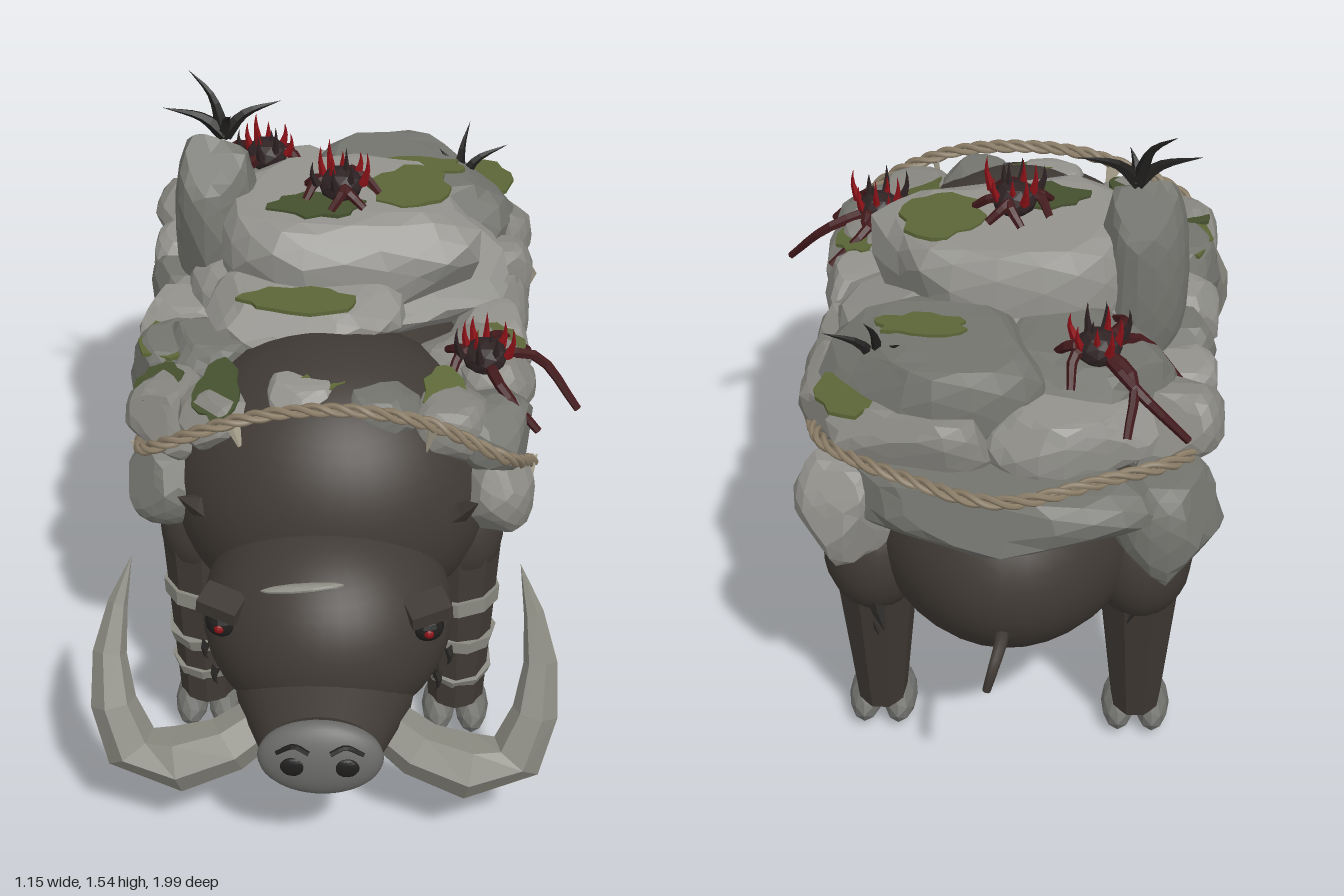
import * as THREE from 'three';

const V = (x, y, z) => new THREE.Vector3(x, y, z);
let seed = 7;
const rnd = () => (seed = (seed * 16807) % 2147483647) / 2147483647;
const span = (a, b) => a + (b - a) * rnd();

const mat = (color, flat = true, double = false) => new THREE.MeshStandardMaterial({
  color, flatShading: flat, side: double ? THREE.DoubleSide : THREE.FrontSide });
const M = {
  hide: mat(0x403a35, false), leg: mat(0x403a35), fur: mat(0x2f2d2a), tusk: mat(0x8b8a81),
  hoof: mat(0x70706d), snout: mat(0x6a6a68, false), dark: mat(0x1f1e1d), red: mat(0x8c1218),
  shell: mat(0x2e2223), crawl: mat(0x42191b), rope: mat(0x8d7f69, false), cloth: mat(0xb5ad98, true, true),
  moss: mat(0x5b6637), mossDark: mat(0x45502f),
  rocks: [mat(0x93928d), mat(0x86857f), mat(0x74746f)],
};

function add(parent, name, geo, material, x = 0, y = 0, z = 0) {
  const m = new THREE.Mesh(geo, material);
  m.name = name;
  m.position.set(x, y, z);
  parent.add(m);
  return m;
}

function ellipsoid(parent, name, material, p, r, seg = 32) {
  const m = add(parent, name, new THREE.SphereGeometry(1, seg, Math.ceil(seg * 0.7)), material, ...p);
  m.scale.set(...r);
  return m;
}

// Tube along points whose radius follows rule(t)
function sweep(parent, name, material, pts, rule, sides = 6, segs = 8) {
  const curve = new THREE.CatmullRomCurve3(pts.map(p => V(...p)));
  const geo = new THREE.TubeGeometry(curve, segs, 1, sides);
  const pos = geo.attributes.position, v = V(0, 0, 0);
  for (let i = 0; i <= segs; i++) {
    const c = curve.getPointAt(i / segs), r = rule(i / segs);
    for (let j = 0; j <= sides; j++) {
      const k = i * (sides + 1) + j;
      v.fromBufferAttribute(pos, k).sub(c).multiplyScalar(r).add(c);
      pos.setXYZ(k, v.x, v.y, v.z);
    }
  }
  geo.computeVertexNormals();
  return add(parent, name, geo, material);
}

// Boulder: a slightly boxy ball cut flat by random planes, with a flat top
const boxy = c => Math.sign(c) * Math.abs(c) ** 0.82;
function rock(parent, name, [x, y, z, rx, ry, rz], flatTop = 0.85) {
  const geo = new THREE.IcosahedronGeometry(1, 3), pos = geo.attributes.position, v = V(0, 0, 0);
  const planes = [[V(0, 1, 0), flatTop]];
  for (let i = 0; i < 12; i++)
    planes.push([V(span(-1, 1), span(-1, 1), span(-1, 1)).normalize(), span(0.74, 0.94)]);
  for (let i = 0; i < pos.count; i++) {
    v.fromBufferAttribute(pos, i);
    v.set(boxy(v.x), boxy(v.y), boxy(v.z));
    for (const [n, d] of planes) {
      const over = v.dot(n) - d;
      if (over > 0) v.addScaledVector(n, -over);
    }
    pos.setXYZ(i, v.x * rx * 1.07, v.y * ry * 1.1, v.z * rz * 1.07);
  }
  geo.computeVertexNormals();
  return add(parent, name, geo, M.rocks[Math.floor(rnd() * 3)], x, y, z);
}

// Ragged moss sheet
function moss(parent, [x, y, z, rx, rz, tiltX = 0, tiltZ = 0], i) {
  const shape = new THREE.Shape();
  for (let k = 0; k < 18; k++) {
    const a = k / 18 * Math.PI * 2, r = span(0.78, 1.12);
    shape[k ? 'lineTo' : 'moveTo'](Math.cos(a) * r * rx, Math.sin(a) * r * rz);
  }
  const geo = new THREE.ExtrudeGeometry(shape, { depth: 0.01, bevelEnabled: false }).rotateX(-Math.PI / 2);
  const m = add(parent, 'moss', geo, i % 3 === 1 ? M.mossDark : M.moss, x, y, z);
  m.rotation.set(tiltX, 0, tiltZ);
}

// Spiny crawler: round shell, upright red spines, bent legs ending at given feet
function crawler(parent, [x, y, z], feet) {
  const g = new THREE.Group();
  g.name = 'crawler';
  g.position.set(x, y, z);
  parent.add(g);
  const body = add(g, 'crawlerShell', new THREE.IcosahedronGeometry(0.055, 1), M.shell);
  body.scale.y = 0.8;
  for (let i = 0; i < 10; i++) {
    const a = i * 2.4, r = 0.02 * Math.sqrt(i + 0.3), h = span(0.07, 0.105);
    const c = Math.cos(a), s = Math.sin(a);
    sweep(g, 'crawlerSpine', i % 3 ? M.red : M.shell, [[c * r, 0.01, s * r],
      [c * r * 1.25, h * 0.6, s * r * 1.25], [c * r * 1.2, h, s * r * 1.2]], t => 0.012 * (1 - t), 4, 4);
  }
  // Each leg swings sideways at the knee
  feet.forEach(([fx, fy, fz], i) => {
    const bend = i % 2 ? 0.22 : -0.22;
    sweep(g, 'crawlerLeg', M.crawl, [[0, 0, 0], [fx * 0.55 - fz * bend, fy * 0.35 + 0.02, fz * 0.55 + fx * bend], [fx, fy, fz]],
      t => 0.016 * (1 - t * 0.4), 6, 7);
  });
}

// Tuft of curved thorns
function thorns(parent, [x, y, z], tips) {
  for (const [tx, ty, tz] of tips)
    sweep(parent, 'thorn', M.dark, [[x, y, z], [x + tx * 0.35, y + ty * 0.65, z + tz * 0.4],
      [x + tx, y + ty, z + tz]], t => 0.021 * (1 - t), 5, 7);
}

// Three strands twisted around a path
function rope(parent, name, pts) {
  const path = new THREE.CatmullRomCurve3(pts.map(p => V(...p)));
  for (let s = 0; s < 3; s++) {
    const strand = [];
    for (let i = 0; i <= 120; i++) {
      const t = i / 120, a = t * 60 + s * Math.PI * 2 / 3, p = path.getPointAt(t), d = path.getTangentAt(t);
      const u = V(0, 1, 0).cross(d).normalize(), w = d.clone().cross(u);
      strand.push(p.addScaledVector(u, Math.cos(a) * 0.01).addScaledVector(w, Math.sin(a) * 0.01));
    }
    add(parent, name, new THREE.TubeGeometry(new THREE.CatmullRomCurve3(strand), 240, 0.008, 5), M.rope);
  }
}

function buildBeast() {
  const g = new THREE.Group();
  g.name = 'beast';
  g.position.x = -0.025;
  ellipsoid(g, 'belly', M.hide, [0, 0.66, -0.24], [0.39, 0.37, 0.68], 40);
  ellipsoid(g, 'shoulders', M.hide, [0, 0.72, 0.25], [0.4, 0.37, 0.37], 40);
  ellipsoid(g, 'head', M.hide, [0, 0.525, 0.55], [0.3, 0.275, 0.3], 36);
  // Snout and nose plate
  add(g, 'muzzle', new THREE.CylinderGeometry(0.138, 0.21, 0.2, 28).rotateX(Math.PI / 2), M.hide, 0, 0.41, 0.83)
    .scale.y = 0.76;
  ellipsoid(g, 'nosePlate', M.snout, [0, 0.408, 0.945], [0.147, 0.1, 0.05], 28).rotation.x = -0.1;
  sweep(g, 'tail', M.hide, [[0, 0.57, -0.86], [0, 0.575, -0.93], [0.015, 0.54, -0.98], [0.03, 0.48, -0.985]],
    t => 0.018 - 0.008 * t, 8, 12);
  ellipsoid(g, 'browScar', M.tusk, [-0.05, 0.735, 0.735], [0.1, 0.01, 0.015], 10).rotation.z = 0.12;

  for (const s of [-1, 1]) {
    ellipsoid(g, 'nostril', M.dark, [s * 0.06, 0.41, 0.985], [0.032, 0.027, 0.012], 14);
    sweep(g, 'nostrilFold', M.dark, [[s * 0.1, 0.44, 0.972], [s * 0.06, 0.465, 0.978], [s * 0.025, 0.452, 0.988]],
      () => 0.007, 5, 8);
    ellipsoid(g, 'eyeSocket', M.dark, [s * 0.24, 0.615, 0.71], [0.04, 0.038, 0.04], 14);
    ellipsoid(g, 'eye', M.red, [s * 0.245, 0.615, 0.742], [0.013, 0.013, 0.012], 10);
    const brow = add(g, 'brow', new THREE.BoxGeometry(0.1, 0.04, 0.07), M.leg, s * 0.24, 0.665, 0.71);
    brow.rotation.set(0.2, s * 0.4, s * 0.06);
    sweep(g, 'ear', M.leg, [[s * 0.24, 0.7, 0.42], [s * 0.31, 0.77, 0.47], [s * 0.355, 0.83, 0.52]],
      t => 0.07 * (1 - t), 4, 3);
    sweep(g, 'tusk', M.tusk, [[s * 0.13, 0.36, 0.75], [s * 0.28, 0.29, 0.815], [s * 0.44, 0.285, 0.81],
      [s * 0.505, 0.44, 0.76], [s * 0.5, 0.58, 0.69], [s * 0.455, 0.74, 0.63]],
      t => t < 0.3 ? 0.06 + 0.065 * t : 0.079 * Math.pow((1 - t) / 0.7, 0.75), 6, 7);

    // Legs, each with two toes; the hind shanks lean back to the thigh
    for (const z of [0.33, -0.53]) {
      const front = z > 0, leg = new THREE.Group();
      leg.name = front ? 'frontLeg' : 'hindLeg';
      leg.position.set(s * 0.315, 0, z);
      g.add(leg);
      const shank = add(leg, 'shank', new THREE.CylinderGeometry(front ? 0.106 : 0.126, 0.07, 0.52, 9), M.leg,
        0, 0.35, front ? -0.01 : -0.045);
      shank.rotation.x = front ? -0.04 : -0.1;
      shank.scale.x = front ? 1 : 0.88;
      ellipsoid(leg, 'thigh', M.hide, [0, 0.6, front ? -0.02 : -0.075], front ? [0.108, 0.14, 0.11] : [0.125, 0.17, 0.14], 18);
      for (const t of [-1, 1])
        add(leg, 'toe', new THREE.IcosahedronGeometry(1, 1), M.hoof, t * 0.042, 0.055, 0.005)
          .scale.set(0.043, 0.052, 0.095);
      if (front) [0.41, 0.29, 0.19].forEach((y, i) => {
        const r = 0.078 + (y - 0.1) * 0.075;
        const band = add(leg, 'legWrap', new THREE.CylinderGeometry(r + 0.005, r - 0.002, 0.04 - i * 0.005, 9), M.tusk, 0, y, -0.008);
        band.rotation.set(0.14 * (i - 1), i, s * 0.1 * (i % 2 ? -1 : 1));
      });
    }
    // Hanging fur along the flanks and cheeks
    for (let i = 0; i < 24; i++) {
      const z = 0.21 - i * 0.039, y = span(0.55, 0.64), h = span(0.12, 0.19), lean = span(-0.04, 0.02);
      const x = s * (0.385 * Math.sqrt(1 - ((z + 0.24) / 0.68) ** 2) + 0.002);
      sweep(g, 'flankFur', M.fur, [[x, y, z], [x + s * 0.02, y - h * 0.5, z + lean * 0.3], [x - s * 0.005, y - h, z + lean]],
        t => 0.003 + 0.021 * Math.sin(Math.PI * Math.min(1, t * 0.8 + 0.2)), 4, 4);
    }
    for (let i = 0; i < 5; i++) {
      const z = 0.46 + i * 0.045, y = 0.46 - (i % 3) * 0.04;
      const x = s * 0.3 * Math.sqrt(1 - ((z - 0.55) / 0.3) ** 2 - ((y - 0.525) / 0.275) ** 2);
      sweep(g, 'cheekFur', M.fur, [[x, y, z], [x + s * 0.01, y - 0.04, z], [x, y - 0.08, z - 0.02]],
        t => 0.013 * (1 - t), 4, 3);
    }
  }
  return g;
}

export function createModel() {
  const model = new THREE.Group();
  model.name = 'boulderBackedBoar';
  model.add(buildBeast());
  const load = new THREE.Group();
  load.name = 'rockLoad';
  model.add(load);

  // Stacked slabs along the back: x, y, z, radii, flat top
  [[0.01, 1.13, -0.16, 0.31, 0.2, 0.23, 0.61], [-0.1, 1.05, 0.05, 0.23, 0.11, 0.15, 0.66], [0.14, 1.03, -0.52, 0.26, 0.18, 0.2, 0.62],
    [-0.2, 1.02, -0.48, 0.2, 0.15, 0.2, 0.62], [0, 1.0, -0.2, 0.38, 0.14, 0.28, 0.75], [-0.17, 0.98, -0.66, 0.19, 0.11, 0.13, 0.7],
    [0.18, 0.98, -0.66, 0.2, 0.1, 0.12, 0.7], [-0.02, 0.855, -0.75, 0.35, 0.11, 0.165, 0.7]]
    .forEach(r => rock(load, 'backSlab', r, r[6]));
  rock(load, 'standingStone', [-0.315, 1.15, -0.22, 0.115, 0.255, 0.11], 0.93);

  // Boulders down both flanks: y, z, radii, distance out
  const flank = [[0.77, 0.35, 0.1, 0.12, 0.1, 0.39], [0.91, 0.3, 0.1, 0.1, 0.12, 0.385], [0.91, 0.13, 0.11, 0.12, 0.12, 0.385],
    [0.9, -0.05, 0.11, 0.12, 0.11, 0.385], [0.9, -0.22, 0.1, 0.12, 0.1, 0.385], [0.9, -0.38, 0.11, 0.12, 0.1, 0.385],
    [0.94, -0.54, 0.12, 0.12, 0.12, 0.37], [0.785, -0.69, 0.12, 0.15, 0.135, 0.37]];
  for (const s of [-1, 1])
    for (const [y, z, rx, ry, rz, x] of flank)
      rock(load, 'flankBoulder', [s * x - 0.03, y, z + s * 0.015, rx, ry, rz]);
  // Stones over the shoulders
  [[-0.28, 0.96, 0.36, 0.1, 0.07, 0.1], [-0.09, 1.02, 0.36, 0.08, 0.06, 0.09], [0.1, 1.0, 0.37, 0.09, 0.07, 0.09],
    [0.25, 0.95, 0.34, 0.1, 0.09, 0.11], [0.29, 0.96, 0.12, 0.11, 0.08, 0.11], [-0.32, 0.98, 0.12, 0.11, 0.08, 0.12]]
    .forEach(r => rock(load, 'shoulderStone', r, 0.75));

  [[0.15, 1.26, -0.2, 0.1, 0.1], [-0.08, 1.261, -0.1, 0.12, 0.06], [0.33, 1.045, -0.62, 0.09, 0.1],
    [0.18, 1.15, -0.5, 0.11, 0.045], [0.1, 1.06, -0.66, 0.08, 0.04], [-0.11, 1.125, 0.12, 0.15, 0.06],
    [-0.43, 1.005, 0.13, 0.07, 0.09], [-0.29, 1.01, 0.35, 0.06, 0.1, 0.25, 0.2], [0.25, 1.01, 0.34, 0.06, 0.1, 0.25, -0.2],
    [-0.04, 1.06, 0.36, 0.05, 0.04, 0.2], [-0.44, 0.985, 0.28, 0.06, 0.07, 0.1, 0.2], [0.38, 1.005, 0.1, 0.06, 0.07, 0, -0.2]]
    .forEach((p, i) => moss(load, p, i));

  const ring = [0, 1, 2, 3, 4, 5, 6].map(i => [Math.cos(i * 0.9) * 0.095, -0.025, Math.sin(i * 0.9) * 0.095]);
  crawler(load, [-0.02, 1.295, -0.16], ring);
  crawler(load, [0.34, 1.035, 0.2], [[0.23, -0.15, 0], [0.13, -0.12, 0.14], [0.11, -0.08, -0.15], [0.01, -0.04, -0.11],
    [-0.09, -0.01, -0.04], [-0.08, -0.02, 0.06]]);
  crawler(load, [-0.23, 1.15, -0.56], [[-0.07, -0.12, -0.19], [-0.21, -0.17, -0.12], [-0.2, -0.15, 0.07], [-0.03, -0.05, 0.19],
    [0.1, -0.04, 0.03], [0.06, -0.06, -0.09]]);

  thorns(load, [-0.31, 1.39, -0.23], [[-0.09, 0.15, -0.05], [-0.15, 0.07, 0], [0.14, 0.08, -0.03], [0.02, 0.07, 0.04]]);
  thorns(load, [0.27, 1.07, -0.55], [[0.13, 0.11, -0.03], [0.03, 0.16, -0.06], [-0.05, 0.09, -0.04]]);

  rope(load, 'frontRope', [[-0.49, 0.82, 0.28], [-0.45, 0.92, 0.45], [-0.22, 1.03, 0.48], [-0.02, 1.06, 0.48],
    [0.2, 1.03, 0.48], [0.39, 0.92, 0.46], [0.46, 0.8, 0.3]]);
  rope(load, 'rearRope', [[-0.48, 0.88, -0.45], [-0.45, 0.93, -0.66], [-0.25, 0.95, -0.8], [-0.02, 0.95, -0.89],
    [0.22, 0.95, -0.8], [0.39, 0.945, -0.68], [0.45, 0.88, -0.45]]);
  // Frayed cloth scraps on the ropes
  [[-0.24, 0.97, 0.47], [0.21, 0.97, 0.47], [0.46, 0.77, 0.32], [-0.48, 0.79, 0.3], [0.46, 0.84, -0.45]].forEach(([x, y, z], i) => {
    const scrap = add(load, 'clothScrap', new THREE.ConeGeometry(0.022, 0.1, 4, 1, true), M.cloth, x, y, z);
    scrap.scale.z = 0.3;
    scrap.rotation.set(Math.PI, i, 0.25 * (i % 2 ? 1 : -1));
  });
  return model;
}
